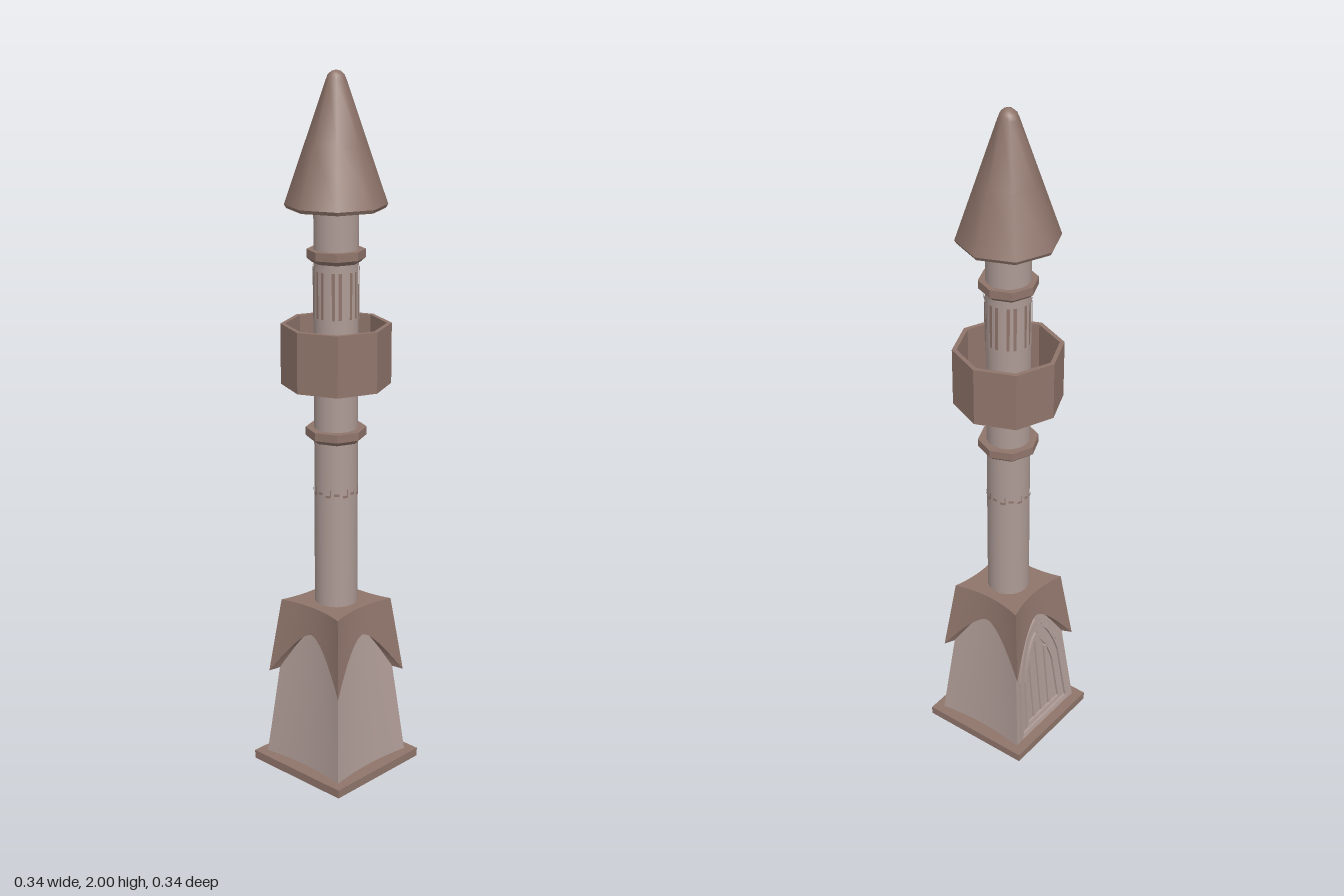
import * as THREE from 'three';
import { ParametricGeometry } from 'three/addons/geometries/ParametricGeometry.js';

const stone = new THREE.MeshStandardMaterial({ color: 0xae9b96 });
stone.name = 'pale stone';
const trim = new THREE.MeshStandardMaterial({ color: 0x8f756b });
trim.name = 'brown stone';

function add(parent, name, geometry, material) {
  const mesh = new THREE.Mesh(geometry, material);
  mesh.name = name;
  parent.add(mesh);
  return mesh;
}

// Eight-sided ring or solid turned from a profile, corners on the axes
function octagon(points, flat = true) {
  const lathe = new THREE.LatheGeometry(points.map(([r, y]) => new THREE.Vector2(r, y)), 8);
  if (!flat) return lathe;
  const geometry = lathe.toNonIndexed();
  geometry.computeVertexNormals();
  return geometry;
}

// Thin curved plate wrapped round the shaft
function wrap(radius, height, y, angle, width) {
  const g = new THREE.CylinderGeometry(radius, radius, height, 3, 1, true, angle - width / 2, width);
  return g.translate(0, y, 0);
}

// Square plan with hollowed sides: half width and hollow depth
const bodyHalf = (y) => 0.143 - 0.1 * (y - 0.025);
const capHalf = (y) => 0.111 + 0.12 * (0.51 - y);
const BODY_HOLLOW = 0.013;
const CAP_HOLLOW = 0.018;
const hollowZ = (half, t, depth) => half - depth * (1 - t * t);
const capEdge = (t) => 0.285 + 0.145 * (1 - Math.pow(Math.abs(t), 1.6));

function bodyPoint(t, y, target) {
  const h = bodyHalf(y);
  return target.set(t * h, y, hollowZ(h, t, BODY_HOLLOW));
}

function capPoint(t, y, target) {
  const h = capHalf(y);
  return target.set(t * h, y, hollowZ(h, t, CAP_HOLLOW));
}

// Presses a flat shape on to the hollow wall
function pressToWall(geometry) {
  const p = geometry.attributes.position;
  for (let i = 0; i < p.count; i++) {
    const h = bodyHalf(p.getY(i));
    p.setZ(i, p.getZ(i) + hollowZ(h, p.getX(i) / h, BODY_HOLLOW));
  }
  geometry.computeVertexNormals();
  return geometry;
}

// Pointed arch outline
function archPath(path, w, y0, spring, apex) {
  path.moveTo(-w, y0);
  path.lineTo(w, y0);
  path.lineTo(w * 0.83, spring);
  path.quadraticCurveTo(w * 0.55, apex - 0.03, 0, apex);
  path.quadraticCurveTo(-w * 0.55, apex - 0.03, -w * 0.83, spring);
  path.closePath();
  return path;
}

function archFrame(w, y0, spring, apex, thick) {
  const shape = archPath(new THREE.Shape(), w, y0, spring, apex);
  shape.holes.push(archPath(new THREE.Path(), w - thick, y0 + thick, spring, apex - thick * 1.5));
  return pressToWall(new THREE.ExtrudeGeometry(shape, { depth: 0.007, bevelEnabled: false, curveSegments: 10 }));
}

function buildBase(model) {
  const base = new THREE.Group();
  base.name = 'base';
  model.add(base);
  add(base, 'plinth', new THREE.BoxGeometry(0.34, 0.025, 0.34).translate(0, 0.0125, 0), trim);

  const wall = new ParametricGeometry((u, v, p) => bodyPoint(u * 2 - 1, 0.025 + v * 0.475, p), 14, 4);
  const capFace = new ParametricGeometry((u, v, p) => {
    const t = u * 2 - 1, low = capEdge(t);
    capPoint(t, low + v * (0.51 - low), p);
  }, 20, 4);
  const inner = new THREE.Vector3();
  const capUnder = new ParametricGeometry((u, v, p) => {
    const t = u * 2 - 1, y = capEdge(t);
    capPoint(t, y, p);
    bodyPoint(t, y + 0.01, inner);
    p.lerp(inner, 1 - v);
  }, 20, 1);
  const capTop = new ParametricGeometry((u, v, p) => {
    capPoint(u * 2 - 1, 0.51, p);
    p.x *= 1 - 0.7 * v;
    p.z *= 1 - 0.7 * v;
  }, 14, 1);

  for (let k = 0; k < 4; k++) {
    const side = new THREE.Group();
    side.name = 'baseSide';
    side.rotation.y = k * Math.PI / 2;
    add(side, 'wall', wall, stone);
    add(side, 'capFace', capFace, trim);
    add(side, 'capUnderside', capUnder, trim);
    add(side, 'capTop', capTop, trim);
    base.add(side);
  }

  // Doorway tracery on one side
  const door = new THREE.Group();
  door.name = 'doorway';
  door.rotation.y = -Math.PI / 2;
  add(door, 'outerArch', archFrame(0.122, 0.035, 0.24, 0.41, 0.014), stone);
  add(door, 'innerArch', archFrame(0.088, 0.055, 0.22, 0.36, 0.012), stone);
  for (const [x, top] of [[-0.038, 0.29], [0, 0.34], [0.038, 0.29]]) {
    const bar = new THREE.BoxGeometry(0.012, top - 0.06, 0.012, 1, 4, 1).translate(x, (top + 0.06) / 2, 0);
    add(door, 'doorBar', pressToWall(bar), stone);
  }
  base.add(door);
}

function buildShaft(model) {
  const shaft = new THREE.Group();
  shaft.name = 'tower';
  model.add(shaft);
  add(shaft, 'shaft', new THREE.CylinderGeometry(0.061, 0.061, 1.165, 24).translate(0, 1.0625, 0), stone);

  // Broken band of small marks
  for (let k = 0; k < 16; k++) {
    const angle = k * Math.PI / 8;
    add(shaft, 'bandDash', wrap(0.063, 0.007, k % 2 ? 0.842 : 0.848, angle, 0.24), trim);
    if (k % 2) add(shaft, 'bandTick', wrap(0.063, 0.02, 0.853, angle + 0.11, 0.05), trim);
  }

  // Collars
  for (const [y, r] of [[1.003, 0.085], [1.503, 0.08]]) {
    add(shaft, 'collar', octagon([
      [0.055, y - 0.008], [r - 0.014, y - 0.008], [r, y + 0.004], [r, y + 0.027], [0.055, y + 0.027],
    ]), trim);
  }

  // Lantern windows with pale frames
  for (let k = 0; k < 8; k++) {
    const angle = k * Math.PI / 4;
    add(shaft, 'window', wrap(0.0625, 0.13, 1.41, angle, 0.5), trim);
    for (const s of [-1, 1]) add(shaft, 'windowJamb', wrap(0.0645, 0.14, 1.41, angle + s * 0.26, 0.1), stone);
    add(shaft, 'windowBar', wrap(0.0645, 0.13, 1.41, angle, 0.16), stone);
    add(shaft, 'windowHead', wrap(0.0645, 0.012, 1.48, angle, 0.62), stone);
  }
}

export function createModel() {
  const model = new THREE.Group();
  model.name = 'tower';
  buildBase(model);
  buildShaft(model);

  // Open-topped balcony
  add(model, 'balcony', octagon([
    [0.05, 1.155], [0.152, 1.155], [0.152, 1.325], [0.139, 1.325], [0.139, 1.175], [0.05, 1.175],
  ]), trim);

  // Pointed roof with a rounded tip
  add(model, 'roofUnderside', octagon([[0.03, 1.64], [0.133, 1.64], [0.139, 1.65]]), trim);
  add(model, 'roof', octagon([
    [0.139, 1.65], [0.084, 1.81], [0.028, 1.973], [0.022, 1.988], [0.012, 1.997], [0, 2],
  ], false), trim);
  return model;
}
